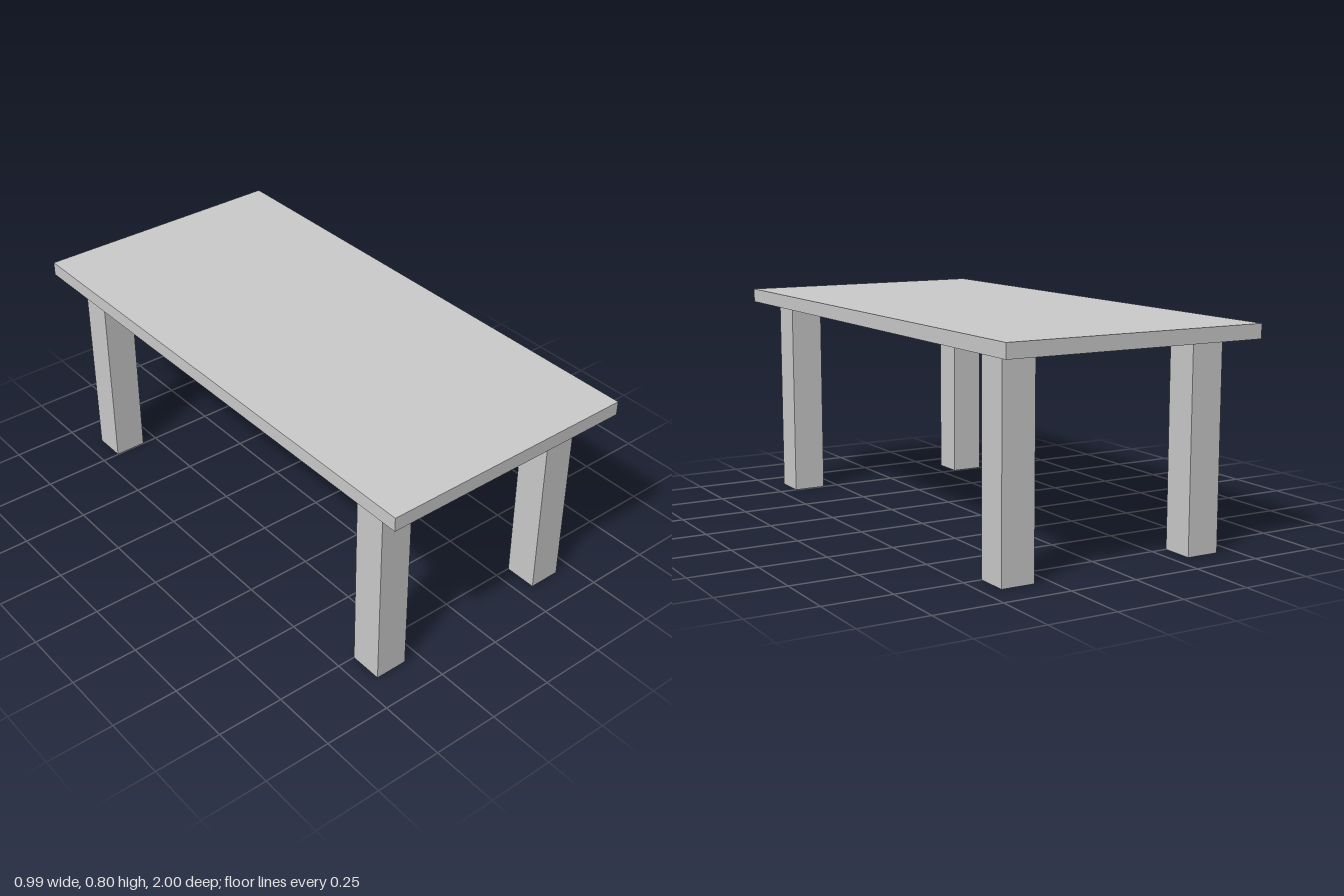
import * as THREE from 'three';

export function createModel() {
  const group = new THREE.Group();
  const material = new THREE.MeshStandardMaterial({ color: 0xcccccc, flatShading: true });

  const legHeight = 0.752;
  const topThickness = 0.052;

  // Flat rectangular slab
  const top = new THREE.Mesh(new THREE.BoxGeometry(0.988, topThickness, 2), material);
  top.name = 'tableTop';
  top.position.y = legHeight + topThickness / 2;
  group.add(top);

  // Four square legs, set in from the corners
  const legGeometry = new THREE.BoxGeometry(0.123, legHeight, 0.124);
  for (const [zName, z] of [['front', 1], ['back', -1]]) {
    for (const [xName, x] of [['Left', 1], ['Right', -1]]) {
      const leg = new THREE.Mesh(legGeometry, material);
      leg.name = `${zName}${xName}Leg`;
      leg.position.set(x * 0.371, legHeight / 2, z * 0.813);
      group.add(leg);
    }
  }

  return group;
}
